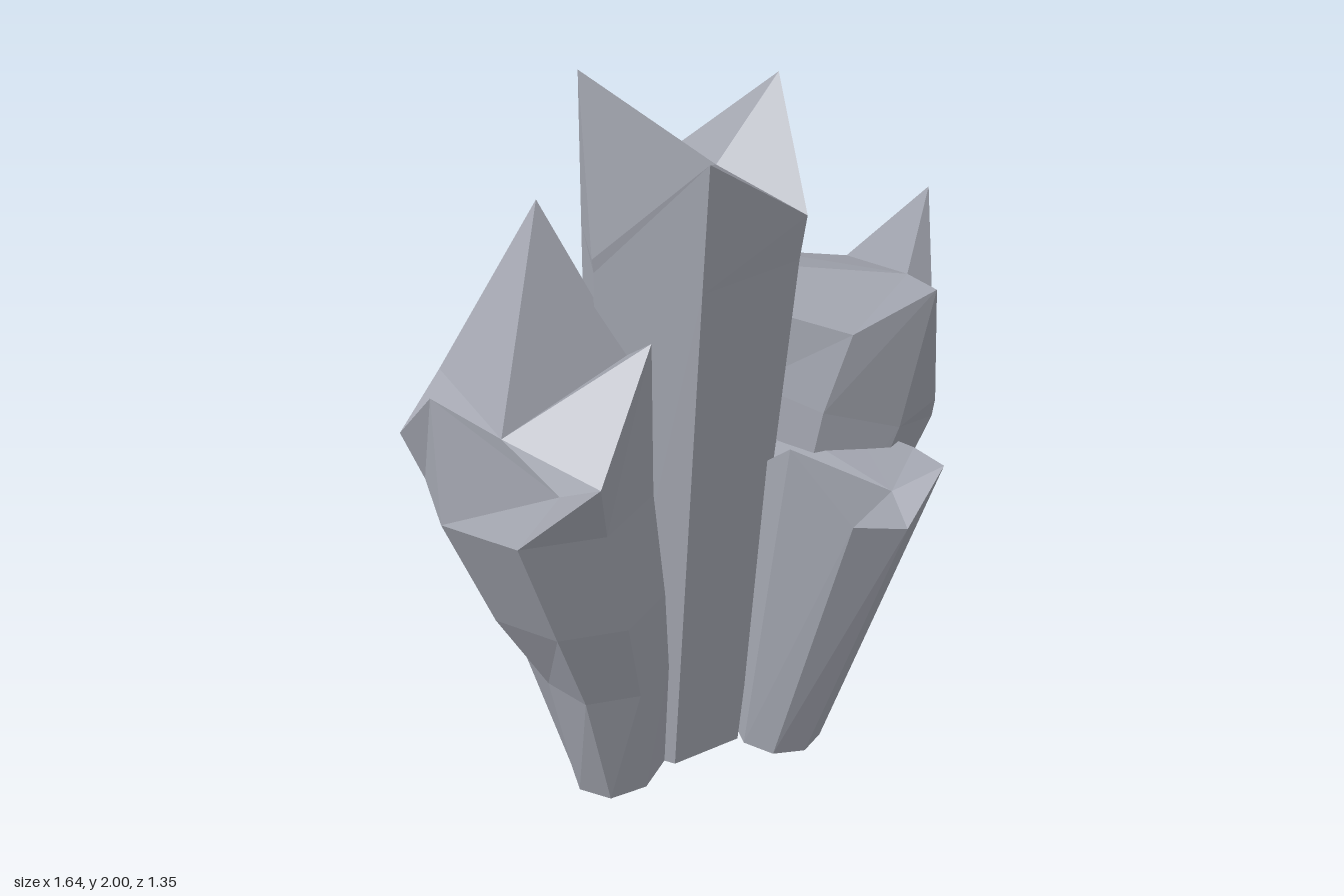
import * as THREE from 'three';

// Tilted polygon ring: the +x side sits lower by tilt
function ring(n, x, y, z, r, tilt = 0) {
  return Array.from({ length: n }, (_, i) => {
    const a = (i / n) * Math.PI * 2;
    return [x + r * Math.cos(a), y - tilt * Math.cos(a), z + r * Math.sin(a)];
  });
}

// Skin a stack of rings, close the base and fan the tip to the apex
function crystal(name, material, rings, apex, { smooth = false, mirror = false } = {}) {
  if (mirror) {
    rings = rings.map((r) => r.map(([x, y, z]) => [-x, y, z]).reverse());
    apex = [-apex[0], apex[1], apex[2]];
  }
  const n = rings[0].length;
  const base = rings[0];
  const mid = [0, 1, 2].map((k) => base.reduce((s, p) => s + p[k], 0) / n);
  const points = [...rings.flat(), apex, ...base, mid];
  const tip = rings.length * n;
  const foot = tip + 1;
  const index = [];
  for (let i = 0; i < n; i++) {
    const j = (i + 1) % n;
    for (let k = 0; k < rings.length - 1; k++) {
      const lo = k * n, hi = lo + n;
      index.push(lo + i, hi + i, lo + j, hi + i, hi + j, lo + j);
    }
    const top = tip - n;
    index.push(top + i, tip, top + j);
    index.push(foot + i, foot + j, foot + n);
  }
  let geometry = new THREE.BufferGeometry();
  geometry.setAttribute('position', new THREE.Float32BufferAttribute(points.flat(), 3));
  geometry.setIndex(index);
  if (!smooth) geometry = geometry.toNonIndexed();
  geometry.computeVertexNormals();
  const mesh = new THREE.Mesh(geometry, material);
  mesh.name = name;
  return mesh;
}

export function createModel() {
  const group = new THREE.Group();
  group.name = 'crystalCluster';
  const stone = new THREE.MeshStandardMaterial({ color: 0xa3a6b0 });
  stone.name = 'greyCrystal';

  // Tall six-sided crystal with a jagged crown
  group.add(crystal('centreCrystal', stone, [
    ring(6, -0.05, 0.035, 0.02, 0.23, 0.02),
    [[0.23, 1.57, 0.02], [0.19, 1.57, 0.285], [-0.13, 1.57, 0.285],
      [-0.275, 1.57, 0.02], [-0.13, 1.57, -0.235], [0.19, 1.57, -0.235]],
    [[0.33, 1.97, 0.02], [0.2, 1.7, 0.3], [-0.12, 1.93, 0.3],
      [-0.28, 1.61, 0.02], [-0.12, 2, -0.25], [0.2, 1.7, -0.25]],
  ], [0.14, 1.75, 0]));

  // Leaning eight-sided crystals on both sides
  group.add(crystal('leftCrystal', stone, [
    ring(8, 0.2, 0.03, 0.1, 0.15, 0.03),
    ring(8, 0.34, 0.5, 0.1, 0.2, 0.03),
    ring(8, 0.48, 1.01, 0.1, 0.29, 0.11),
    [[0.82, 1.53, 0.1], [0.65, 1.02, 0.35], [0.52, 1.45, 0.46], [0.33, 1.33, 0.35],
      [0.2, 1.35, 0.1], [0.29, 1.36, -0.15], [0.52, 1.28, -0.26], [0.76, 1.23, -0.16]],
  ], [0.67, 1.34, 0.19]));

  // The outer edge of this one is pinched near the foot
  const pinched = ring(8, 0.345, 0.42, 0.1, 0.2);
  pinched[0][0] = 0.51;
  group.add(crystal('rightCrystal', stone, [
    ring(8, 0.28, 0.03, 0.1, 0.135, 0.03),
    pinched,
    ring(8, 0.42, 0.7, 0.1, 0.25),
    ring(8, 0.52, 1.06, 0.1, 0.3),
    [[0.8, 1.4, 0.05], [0.64, 1.21, 0.37], [0.58, 1.25, 0.46], [0.34, 1.53, 0.35],
      [0.23, 1.35, 0.1], [0.33, 1.73, -0.15], [0.58, 1.27, -0.26], [0.77, 1.19, -0.16]],
  ], [0.68, 1.3, 0.18], { mirror: true }));

  // Short broken crystal at the front
  group.add(crystal('frontCrystal', stone, [
    ring(8, 0.18, 0.03, 0.26, 0.125, 0.01),
    [[0.52, 0.94, 0.41], [0.45, 1, 0.6], [0.26, 0.91, 0.67], [0.13, 0.93, 0.6],
      [0.06, 1.11, 0.42], [0.13, 0.95, 0.23], [0.27, 0.98, 0.16], [0.45, 0.96, 0.23]],
  ], [0.32, 0.94, 0.54]));

  // Smooth pointed crystal at the back
  group.add(crystal('backCrystal', stone, [
    ring(8, 0.18, 0.04, -0.26, 0.12, 0.01),
    [[0.53, 0.91, -0.41], [0.45, 0.91, -0.23], [0.27, 0.91, -0.16], [0.08, 0.91, -0.22],
      [0.06, 0.91, -0.42], [0.14, 0.91, -0.61], [0.27, 0.91, -0.68], [0.46, 0.91, -0.59]],
  ], [0.31, 1.31, -0.41], { smooth: true }));

  return group;
}
